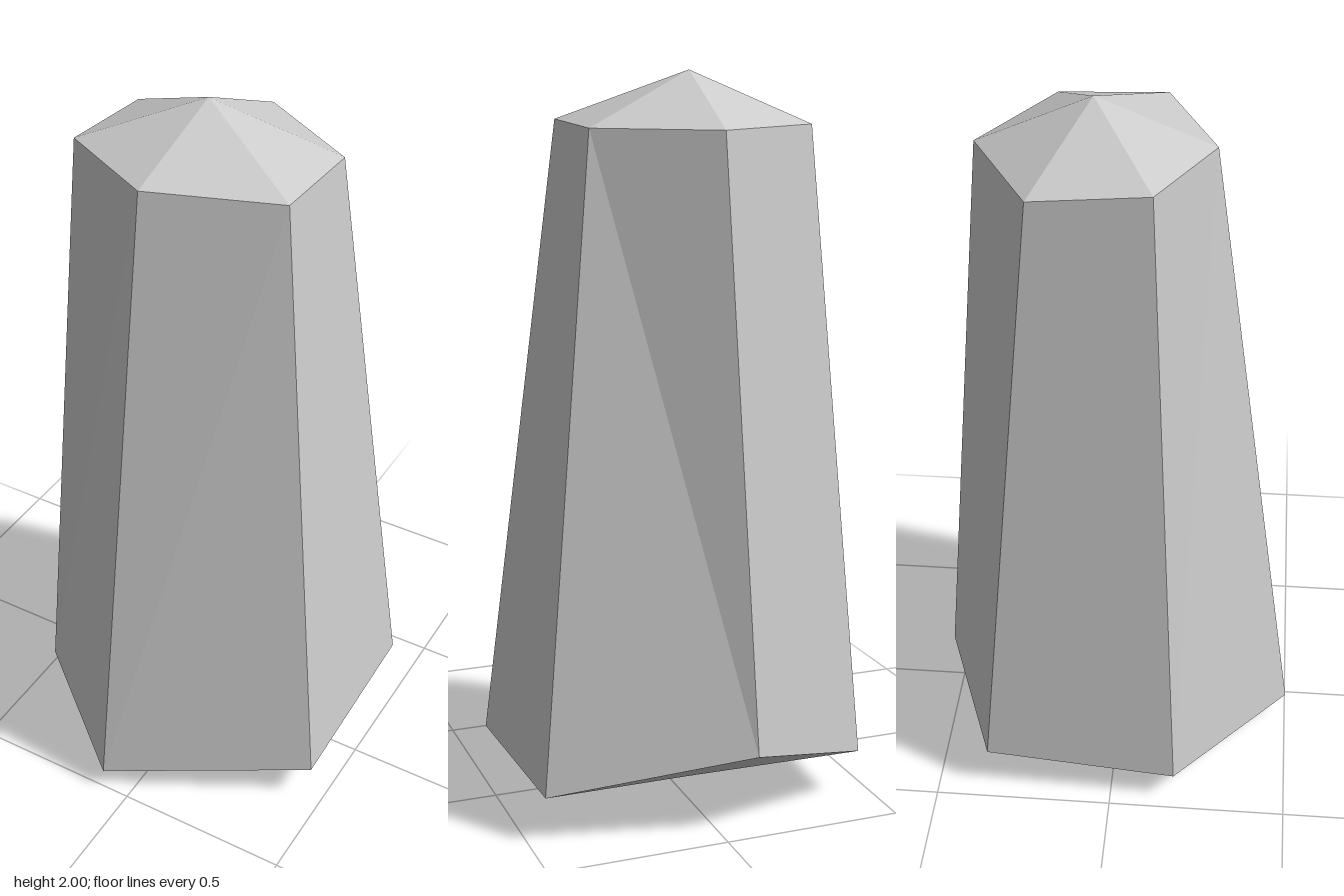
import * as THREE from 'three';

// Six-sided rings, counter-clockwise from the front corner
const lowerRing = [
  [-0.08, 0.065, 0.5], [0.465, 0.115, 0.23], [0.455, 0.13, -0.34],
  [-0.085, 0.23, -0.505], [-0.455, 0.132, -0.355], [-0.465, 0.09, 0.182],
];
const upperRing = [
  [-0.067, 1.883, 0.24], [0.27, 1.87, 0.098], [0.27, 1.86, -0.196],
  [-0.03, 1.858, -0.375], [-0.345, 1.86, -0.207], [-0.345, 1.886, 0.098],
];
const lowerTip = [-0.05, 0, -0.07];
const upperTip = [-0.05, 2, -0.07];
const BACK_FACE = 2; // this side folds along the opposite diagonal

// Flat-shaded mesh from a list of triangles
function facetMesh(name, triangles, material) {
  const geometry = new THREE.BufferGeometry();
  geometry.setAttribute('position', new THREE.Float32BufferAttribute(triangles.flat(2), 3));
  geometry.computeVertexNormals();
  const mesh = new THREE.Mesh(geometry, material);
  mesh.name = name;
  return mesh;
}

export function createModel() {
  const group = new THREE.Group();
  group.name = 'crystal';
  const material = new THREE.MeshStandardMaterial({ color: 0xcccccc, flatShading: true });

  const shaft = [], crown = [], base = [];
  for (let i = 0; i < 6; i++) {
    const j = (i + 1) % 6;
    const a = lowerRing[i], b = lowerRing[j], c = upperRing[j], d = upperRing[i];
    if (i === BACK_FACE) shaft.push([a, b, d], [b, c, d]);
    else shaft.push([a, b, c], [a, c, d]);
    crown.push([d, c, upperTip]);
    base.push([b, a, lowerTip]);
  }

  group.add(
    facetMesh('shaft', shaft, material),
    facetMesh('crown', crown, material),
    facetMesh('base', base, material),
  );
  return group;
}
